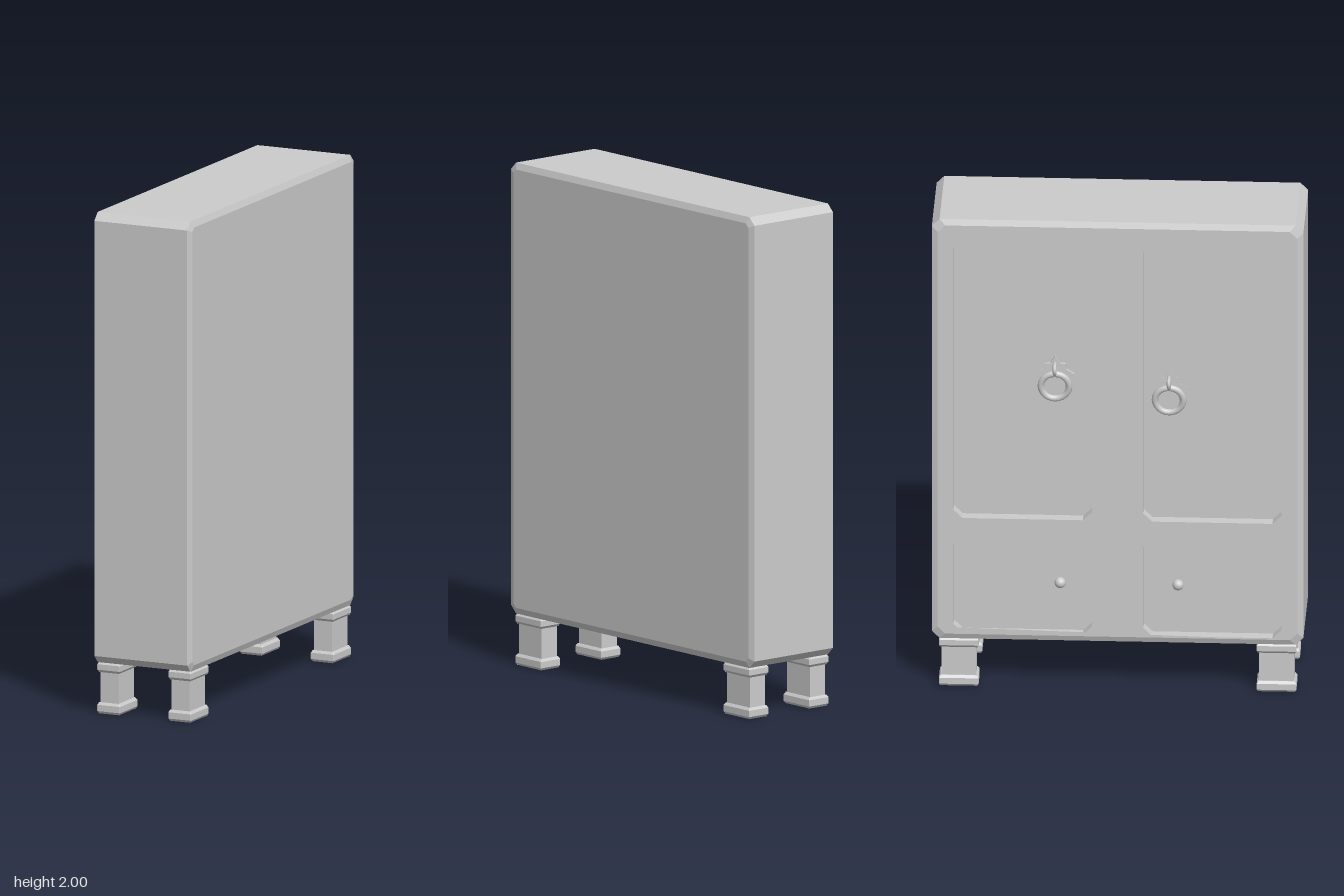
import * as THREE from 'three';

const material = new THREE.MeshStandardMaterial({ color: 0xcccccc });

// Side profile of the cabinet and its openings are rectangles with cut corners.
function cutRect(path, x0, x1, y0, y1, c) {
  const pts = [[x0 + c, y0], [x1 - c, y0], [x1, y0 + c], [x1, y1 - c],
    [x1 - c, y1], [x0 + c, y1], [x0, y1 - c], [x0, y0 + c]];
  path.setFromPoints(pts.map(([x, y]) => new THREE.Vector2(x, y)));
  path.closePath();
  return path;
}

function add(parent, name, geometry, x = 0, y = 0, z = 0) {
  const mesh = new THREE.Mesh(geometry, material);
  mesh.name = name;
  mesh.position.set(x, y, z);
  parent.add(mesh);
  return mesh;
}

const outline = () => cutRect(new THREE.Shape(), -0.725, 0.725, 0.205, 2, 0.03);

// Solid carcass; its face at x = -0.165 forms the door and drawer panels.
function carcassGeometry() {
  return new THREE.ExtrudeGeometry(outline(), {
    depth: 0.36, bevelThickness: 0.01, bevelSize: 0.025, bevelOffset: -0.025, bevelSegments: 1,
  }).translate(0, 0, -0.205).rotateY(-Math.PI / 2);
}

// Raised frame with four openings; only the outer front rim is bevelled.
function frameGeometry() {
  const shape = outline();
  for (const [z0, z1] of [[-0.64, -0.1], [0.1, 0.64]]) {
    for (const [y0, y1] of [[0.235, 0.65], [0.725, 1.915]]) {
      shape.holes.push(cutRect(new THREE.Path(), z0, z1, y0, y1, 0.035));
    }
  }
  const g = new THREE.ExtrudeGeometry(shape, { depth: 0.06, steps: 6, bevelEnabled: false });
  const p = g.attributes.position;
  const midY = 1.1025;
  for (let i = 0; i < p.count; i++) {
    const x = p.getX(i), y = p.getY(i);
    const outer = Math.abs(x) > 0.66 || y < 0.22 || y > 1.95;
    if (outer && p.getZ(i) > 0.059) p.setXY(i, x * 0.968, midY + (y - midY) * 0.974);
  }
  g.computeVertexNormals();
  return g.translate(0, 0, 0.15).rotateY(-Math.PI / 2);
}

// Box with bevelled edges on top and bottom.
function padGeometry(w, h, d) {
  const b = 0.01;
  const s = cutRect(new THREE.Shape(), -w / 2, w / 2, -d / 2, d / 2, 0.002);
  return new THREE.ExtrudeGeometry(s, {
    depth: h - 2 * b, bevelThickness: b, bevelSize: 0.008, bevelOffset: -0.008, bevelSegments: 1,
  }).translate(0, 0, b - h / 2).rotateX(-Math.PI / 2);
}

function makeLeg(x, z) {
  const leg = new THREE.Group();
  leg.name = 'leg';
  leg.position.set(x, 0, z);
  add(leg, 'foot', padGeometry(0.1, 0.045, 0.155), 0, 0.0225);
  add(leg, 'shaft', new THREE.BoxGeometry(0.078, 0.14, 0.136), 0, 0.105);
  add(leg, 'collar', padGeometry(0.1, 0.042, 0.155), 0, 0.186);
  return leg;
}

// Notched back plate, knuckle and hanging ring.
function makeHandle(x, y, z) {
  const handle = new THREE.Group();
  handle.name = 'ringHandle';
  handle.position.set(x, y, z);
  const star = [];
  for (let i = 0; i < 16; i++) {
    const a = (i / 16) * Math.PI * 2;
    const r = i % 4 === 0 ? 0.075 : i % 2 === 0 ? 0.06 : 0.048;
    star.push(new THREE.Vector2(Math.cos(a) * r, Math.sin(a) * r));
  }
  add(handle, 'handlePlate', new THREE.ExtrudeGeometry(new THREE.Shape(star), {
    depth: 0.012, bevelEnabled: false,
  }).rotateY(-Math.PI / 2));
  const knuckle = add(handle, 'knuckle', new THREE.TorusGeometry(0.02, 0.008, 8, 16), -0.03, 0.03, 0);
  knuckle.scale.x = 1.2;
  const ring = add(handle, 'ring', new THREE.TorusGeometry(0.055, 0.013, 8, 24)
    .rotateY(Math.PI / 2), -0.028, -0.045, 0);
  ring.rotation.z = 0.1;
  return handle;
}

export function createModel() {
  const cabinet = new THREE.Group();
  cabinet.name = 'cabinet';
  add(cabinet, 'carcass', carcassGeometry());
  add(cabinet, 'frame', frameGeometry());

  for (const x of [-0.152, 0.158]) {
    for (const z of [-0.62, 0.62]) cabinet.add(makeLeg(x, z));
  }

  cabinet.add(makeHandle(-0.165, 1.335, -0.245));
  cabinet.add(makeHandle(-0.155, 1.28, 0.2));

  // Drawer knobs
  for (const z of [-0.225, 0.235]) {
    add(cabinet, 'drawerKnob', new THREE.SphereGeometry(0.022, 16, 12), -0.18, 0.443, z);
  }
  return cabinet;
}
